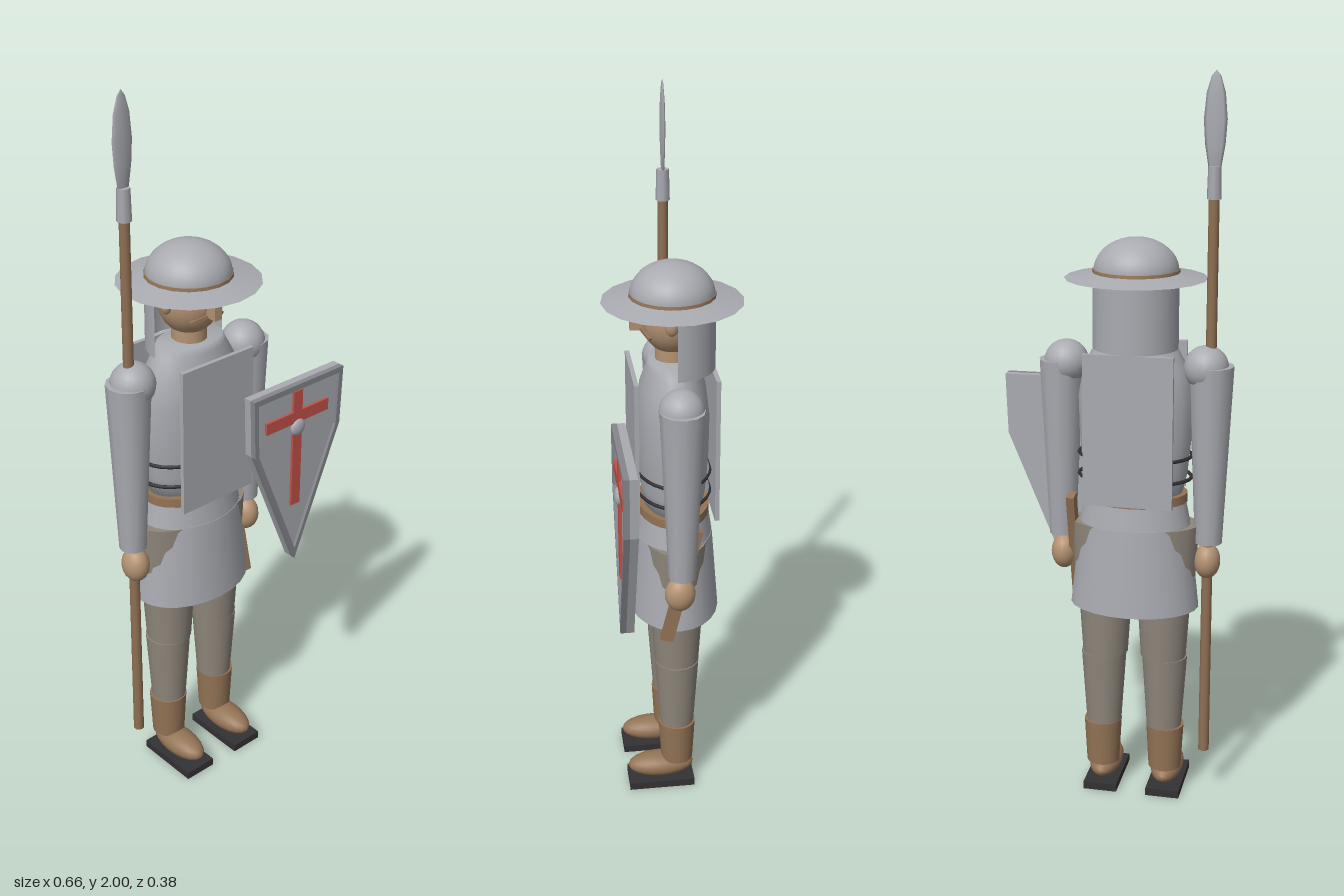
import * as THREE from 'three';

export function createModel() {
  const root = new THREE.Group();
  const mat = (name, color, side = THREE.FrontSide) => {
    const m = new THREE.MeshStandardMaterial({ color, side });
    m.name = name;
    return m;
  };
  const steel = mat('steel', 0xa9abb1, THREE.DoubleSide);
  const darkSteel = mat('darkSteel', 0x85878d);
  const trousers = mat('trousers', 0x8f877c);
  const leather = mat('leather', 0x947456);
  const wood = mat('wood', 0x8f7053);
  const skin = mat('skin', 0xb39272);
  const red = mat('red', 0xc2524a);
  const black = mat('black', 0x333134);

  const CX = -0.073; // body centre line
  const body = new THREE.Group();
  body.name = 'body';
  body.position.x = CX;
  root.add(body);

  const add = (parent, name, geo, material, x = 0, y = 0, z = 0) => {
    const m = new THREE.Mesh(geo, material);
    m.name = name;
    m.position.set(x, y, z);
    parent.add(m);
    return m;
  };
  const box = (w, h, d) => new THREE.BoxGeometry(w, h, d);
  const ball = (rx, ry = rx, rz = rx) => new THREE.SphereGeometry(1, 20, 14).scale(rx, ry, rz);
  // tapered tube from y0 to y1, flattened in z
  const taper = (parent, name, r0, r1, y0, y1, material, x = 0, zs = 1, sides = 20) =>
    add(parent, name, new THREE.CylinderGeometry(r1, r0, y1 - y0, sides).scale(1, 1, zs), material, x, (y0 + y1) / 2, 0);

  // Legs, boots, feet
  for (const s of [-1, 1]) {
    const x = s * 0.082;
    const side = s > 0 ? 'left' : 'right';
    taper(body, side + 'Thigh', 0.063, 0.078, 0.42, 0.66, trousers, x);
    taper(body, side + 'Shin', 0.049, 0.063, 0.21, 0.42, trousers, x + s * 0.004);
    taper(body, side + 'Boot', 0.046, 0.053, 0.08, 0.21, leather, x + s * 0.007);
    add(body, side + 'Foot', ball(0.045, 0.035, 0.096), leather, s * 0.089, 0.056, 0.048);
    add(body, side + 'Sole', box(0.095, 0.022, 0.19), black, s * 0.09, 0.011, 0.048);
  }

  // Skirt, hips and belt
  taper(body, 'skirt', 0.178, 0.152, 0.57, 0.81, steel, 0, 0.71, 24);
  taper(body, 'skirtTop', 0.152, 0.138, 0.81, 0.88, steel, 0, 0.7, 24);
  taper(body, 'hips', 0.165, 0.177, 0.6, 0.808, trousers, 0, 0.56, 24);
  taper(body, 'belt', 0.143, 0.143, 0.872, 0.897, leather, 0, 0.69, 24);

  // Torso
  const profile = [[0, 0.87], [0.125, 0.88], [0.142, 0.95], [0.152, 1.05], [0.155, 1.16],
    [0.14, 1.24], [0.11, 1.295], [0.1, 1.315], [0, 1.32]].map(p => new THREE.Vector2(...p));
  add(body, 'torso', new THREE.LatheGeometry(profile, 24).scale(1, 1, 0.63), steel);
  for (const y of [0.94, 1.0]) {
    const strap = new THREE.TorusGeometry(0.153, 0.005, 6, 28).rotateX(Math.PI / 2).scale(1, 1, 0.67);
    add(body, 'strap', strap, black, 0, y, 0);
  }
  add(body, 'breastPlate', box(0.24, 0.41, 0.012), steel, 0, 1.085, 0.109);
  add(body, 'backPlate', box(0.24, 0.41, 0.012), steel, 0, 1.085, -0.106);

  // Arms and hands
  for (const s of [-1, 1]) {
    const side = s > 0 ? 'left' : 'right';
    add(body, side + 'Shoulder', ball(0.06), steel, s * 0.188, 1.243, 0);
    taper(body, side + 'Arm', 0.037, 0.06, 0.76, 1.25, steel, s * 0.202, 1, 12);
    add(body, side + 'Hand', ball(0.036, 0.05, 0.042), skin, s * 0.199, 0.705, 0.005);
  }

  // Head
  taper(body, 'neck', 0.047, 0.045, 1.3, 1.37, skin);
  add(body, 'head', ball(0.084, 0.096, 0.084), skin, 0, 1.428, 0);
  add(body, 'nose', box(0.022, 0.052, 0.036), skin, 0, 1.426, 0.095);
  for (const s of [-1, 1]) {
    add(body, 'ear', ball(0.014, 0.026, 0.018), skin, s * 0.087, 1.435, 0.012);
    add(body, 'eye', ball(0.011), black, s * 0.036, 1.455, 0.073);
    const whisker = add(body, 'moustache', box(0.05, 0.008, 0.009), leather, s * 0.032, 1.397, 0.074);
    whisker.rotation.set(0, s * 0.4, -s * 0.3);
  }

  // Brimmed helmet with neck guard
  const guard = new THREE.CylinderGeometry(0.114, 0.114, 0.195, 16, 1, true, Math.PI / 2, Math.PI);
  add(body, 'neckGuard', guard, steel, 0, 1.388, 0);
  taper(body, 'helmetBrim', 0.188, 0.115, 1.475, 1.49, steel, 0, 1, 18);
  taper(body, 'helmetBand', 0.116, 0.114, 1.485, 1.498, leather, 0, 1, 18);
  const dome = new THREE.SphereGeometry(1, 24, 12, 0, Math.PI * 2, 0, Math.PI / 2).scale(0.112, 0.088, 0.112);
  add(body, 'helmetDome', dome, steel, 0, 1.492, 0);

  // Scabbard at the left hip
  const scabbard = add(body, 'scabbard', box(0.022, 0.35, 0.036), leather, 0.168, 0.712, -0.002);
  scabbard.rotation.x = -0.235;

  // Spear
  const spear = new THREE.Group();
  spear.name = 'spear';
  spear.position.x = -0.273;
  root.add(spear);
  taper(spear, 'shaft', 0.015, 0.014, 0.14, 1.7, wood, 0, 1, 10);
  taper(spear, 'socket', 0.019, 0.017, 1.682, 1.765, steel, 0, 1, 8);
  const leaf = [[0, 1.758], [0.017, 1.765], [0.026, 1.82], [0.03, 1.88], [0.024, 1.945], [0.012, 1.985], [0, 2]]
    .map(p => new THREE.Vector2(...p));
  add(spear, 'blade', new THREE.LatheGeometry(leaf, 8).scale(1, 1, 0.25), steel);

  // Shield: board, rim, face, cross and boss
  const shield = new THREE.Group();
  shield.name = 'shield';
  shield.position.x = 0.162;
  root.add(shield);
  const outline = k => {
    const s = new THREE.Shape();
    [[-0.163, 1.165], [-0.157, 0.995], [0, 0.615], [0.157, 0.995], [0.163, 1.165]].forEach(([x, y], i) => {
      const px = x * k, py = 0.985 + (y - 0.985) * k;
      i ? s.lineTo(px, py) : s.moveTo(px, py);
    });
    s.closePath();
    return s;
  };
  const slab = (shape, depth) => new THREE.ExtrudeGeometry(shape, { depth, bevelEnabled: false });
  add(shield, 'shieldBoard', slab(outline(1), 0.022), steel, 0, 0, 0.135);
  const ring = outline(1);
  ring.holes.push(outline(0.91));
  add(shield, 'shieldRim', slab(ring, 0.016), darkSteel, 0, 0, 0.157);
  add(shield, 'shieldFace', slab(outline(0.91), 0.007), steel, 0, 0, 0.157);
  add(shield, 'crossUpright', box(0.032, 0.35, 0.009), red, -0.002, 0.97, 0.167);
  add(shield, 'crossBar', box(0.227, 0.034, 0.009), red, -0.002, 1.067, 0.1672);
  add(shield, 'boss', ball(0.025, 0.025, 0.012), steel, -0.001, 1.035, 0.17);

  return root;
}
